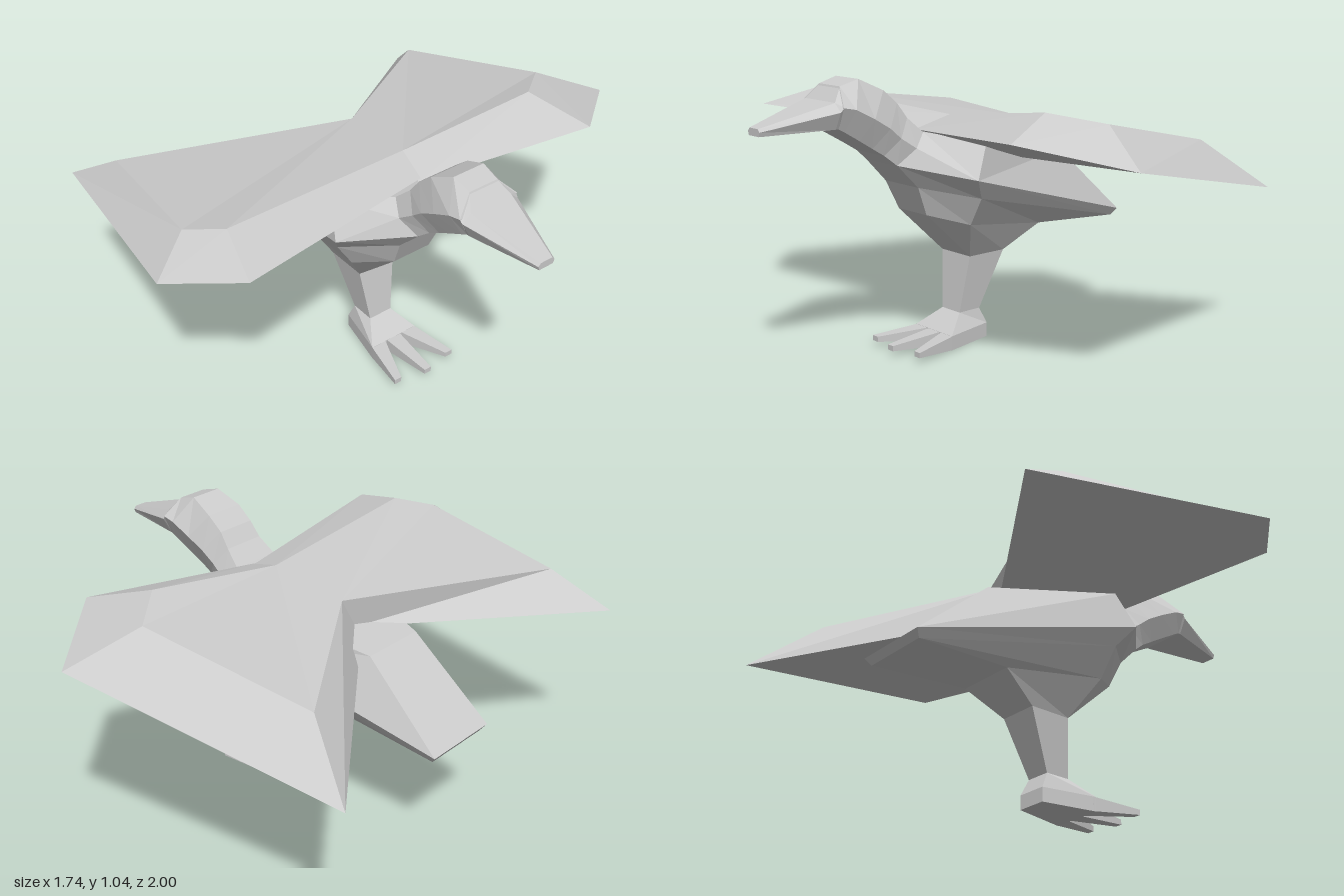
import * as THREE from 'three';

const plumage = new THREE.MeshStandardMaterial({ color: 0xcccccc });
plumage.name = 'plumage grey';
plumage.flatShading = true;

// Flat faceted mesh from polygons (lists of [x, y, z] corners, counter-clockwise)
function facets(name, polygons) {
  const positions = [];
  for (const p of polygons)
    for (let i = 1; i < p.length - 1; i++) positions.push(...p[0], ...p[i], ...p[i + 1]);
  const geometry = new THREE.BufferGeometry();
  geometry.setAttribute('position', new THREE.Float32BufferAttribute(positions, 3));
  geometry.computeVertexNormals();
  const mesh = new THREE.Mesh(geometry, plumage);
  mesh.name = name;
  return mesh;
}

const flipZ = ([x, y, z]) => [x, y, -z];

// Side panels mirrored across z, joined by strips along clockwise profile paths
function symmetric(name, sides, paths) {
  const polygons = [];
  for (const s of sides) polygons.push(s, s.map(flipZ).reverse());
  for (const path of paths)
    for (let i = 0; i < path.length - 1; i++)
      polygons.push([path[i], path[i + 1], flipZ(path[i + 1]), flipZ(path[i])]);
  return facets(name, polygons);
}

// Corners shared by the body, neck and leg
const neckTop = [0.23, 0.84, 0.1], neckMid = [0.28, 0.79, 0.125], neckLow = [0.34, 0.73, 0.09];
const hipBack = [-0.18, 0.34, 0.08], hipFront = [-0.01, 0.34, 0.08];
const ankleBack = [-0.085, 0.118, 0.05], ankleFront = [0.015, 0.118, 0.05];

function makeBody() {
  const tailTop = [-0.74, 0.435, 0.157], tailLow = [-0.72, 0.408, 0.14];
  const back = [-0.43, 0.71, 0.13], shoulder = [0.07, 0.81, 0.26];
  const flank = [0.14, 0.68, 0.295], belly = [0.08, 0.6, 0.245], thigh = [0.07, 0.49, 0.175];
  const rump = [-0.33, 0.43, 0.12], chestLow = [0.2, 0.53, 0.08], chestHigh = [0.25, 0.64, 0.095];
  return symmetric('bodyAndTail', [
    [tailTop, flank, shoulder, back],
    [shoulder, flank, neckMid, neckTop],
    [flank, neckLow, neckMid],
    [flank, belly, chestHigh, neckLow],
    [belly, thigh, chestLow, chestHigh],
    [thigh, hipFront, chestLow],
    [tailTop, tailLow, belly, flank],
    [tailLow, rump, thigh, belly],
    [rump, hipBack, hipFront, thigh],
  ], [
    [tailLow, tailTop, back, shoulder, neckTop],
    [neckLow, chestHigh, chestLow, hipFront],
    [hipBack, rump, tailLow],
  ]);
}

// Loft through rings, each given as top, middle and bottom corner
function loft(name, rings) {
  const sides = [];
  for (let i = 0; i < rings.length - 1; i++) {
    const [t, m, b] = rings[i], [t2, m2, b2] = rings[i + 1];
    sides.push([t, m, m2, t2], [m, b, b2, m2]);
  }
  const end = rings[rings.length - 1];
  return symmetric(name, sides, [[
    ...rings.map((r) => r[0]), end[1], ...rings.map((r) => r[2]).reverse(),
  ]]);
}

function makeWing(name, top, rim, flip) {
  const [a, b, c, rl, rt] = top;
  const [A, B, C, RL, RT] = rim;
  const polygons = [
    [rt, a, b, c, rl],
    [A, B, b, a], [B, C, c, b], [C, RL, rl, c], [RT, A, a, rt],
    [RL, C, B, A, RT],
  ];
  return facets(name, flip ? polygons.map((p) => [...p].reverse()) : polygons);
}

// Box tapered from the foot to the tip and slanted outwards
function makeToe(side) {
  const geometry = new THREE.BoxGeometry(1, 1, 1);
  const p = geometry.attributes.position;
  const tipX = side ? 0.285 : 0.31;
  for (let i = 0; i < p.count; i++) {
    const t = p.getX(i) + 0.5;
    const z = side * (0.07 + 0.055 * t) + p.getZ(i) * (0.066 - 0.036 * t);
    const y = 0.0275 + 0.0025 * t + p.getY(i) * (0.055 - 0.035 * t);
    p.setXYZ(i, 0.09 + (tipX - 0.09) * t, y, z);
  }
  geometry.computeVertexNormals();
  const mesh = new THREE.Mesh(geometry, plumage);
  mesh.name = side > 0 ? 'leftToe' : side < 0 ? 'rightToe' : 'middleToe';
  return mesh;
}

export function createModel() {
  const model = new THREE.Group();
  model.name = 'bird';

  const trunk = new THREE.Group();
  trunk.name = 'trunk';
  trunk.position.z = 0.02;
  model.add(trunk);
  trunk.add(makeBody());

  // Neck and head, then the beak
  trunk.add(loft('neckAndHead', [
    [neckTop, neckMid, neckLow],
    [[0.29, 0.895, 0.085], [0.34, 0.83, 0.115], [0.39, 0.77, 0.08]],
    [[0.33, 0.95, 0.08], [0.39, 0.87, 0.12], [0.44, 0.8, 0.08]],
    [[0.39, 1.0, 0.08], [0.46, 0.91, 0.125], [0.5, 0.835, 0.085]],
    [[0.485, 1.045, 0.065], [0.54, 0.95, 0.128], [0.565, 0.872, 0.09]],
    [[0.56, 1.025, 0.06], [0.59, 0.96, 0.125], [0.59, 0.885, 0.09]],
  ]));
  trunk.add(loft('beak', [
    [[0.56, 1.022, 0.06], [0.585, 0.96, 0.124], [0.585, 0.885, 0.09]],
    [[0.6, 0.975, 0.088], [0.6, 0.945, 0.12], [0.6, 0.885, 0.09]],
    [[0.865, 0.906, 0.025], [0.865, 0.895, 0.035], [0.865, 0.88, 0.03]],
  ]));

  // Leg and foot
  trunk.add(symmetric('leg', [[hipBack, ankleBack, ankleFront, hipFront]],
    [[hipFront, ankleFront], [ankleBack, hipBack]]));
  const heelTop = [-0.115, 0.055, 0.06], heelLow = [-0.115, 0, 0.06];
  const ballTop = [0.1, 0.055, 0.105], ballLow = [0.1, 0, 0.105];
  trunk.add(symmetric('foot',
    [[ankleBack, heelTop, ballTop, ankleFront], [heelTop, heelLow, ballLow, ballTop]],
    [[ankleFront, ballTop, ballLow, heelLow, heelTop, ankleBack]]));
  for (const side of [-1, 0, 1]) trunk.add(makeToe(side));

  // Wings: raised upper face and lower rim, each from trailing tip to leading edge to root
  const rootLead = [0.07, 0.885, -0.04], rootTrail = [-0.26, 0.85, -0.06];
  model.add(makeWing('leftWing',
    [[-0.61, 0.81, 0.75], [0, 0.89, 0.83], [0.12, 0.918, 0.73], rootLead, rootTrail],
    [[-0.83, 0.675, 0.835], [0.11, 0.815, 0.995], [0.34, 0.863, 0.79], [0.2, 0.845, -0.02], [-0.27, 0.73, 0]],
    false));
  model.add(makeWing('rightWing',
    [[-0.63, 0.79, -0.635], [0, 0.922, -0.755], [0.13, 0.955, -0.59], rootLead, rootTrail],
    [[-0.87, 0.6, -0.77], [0.12, 0.81, -1], [0.37, 0.885, -0.68], [0.21, 0.84, 0], [-0.24, 0.69, 0.08]],
    true));
  return model;
}
